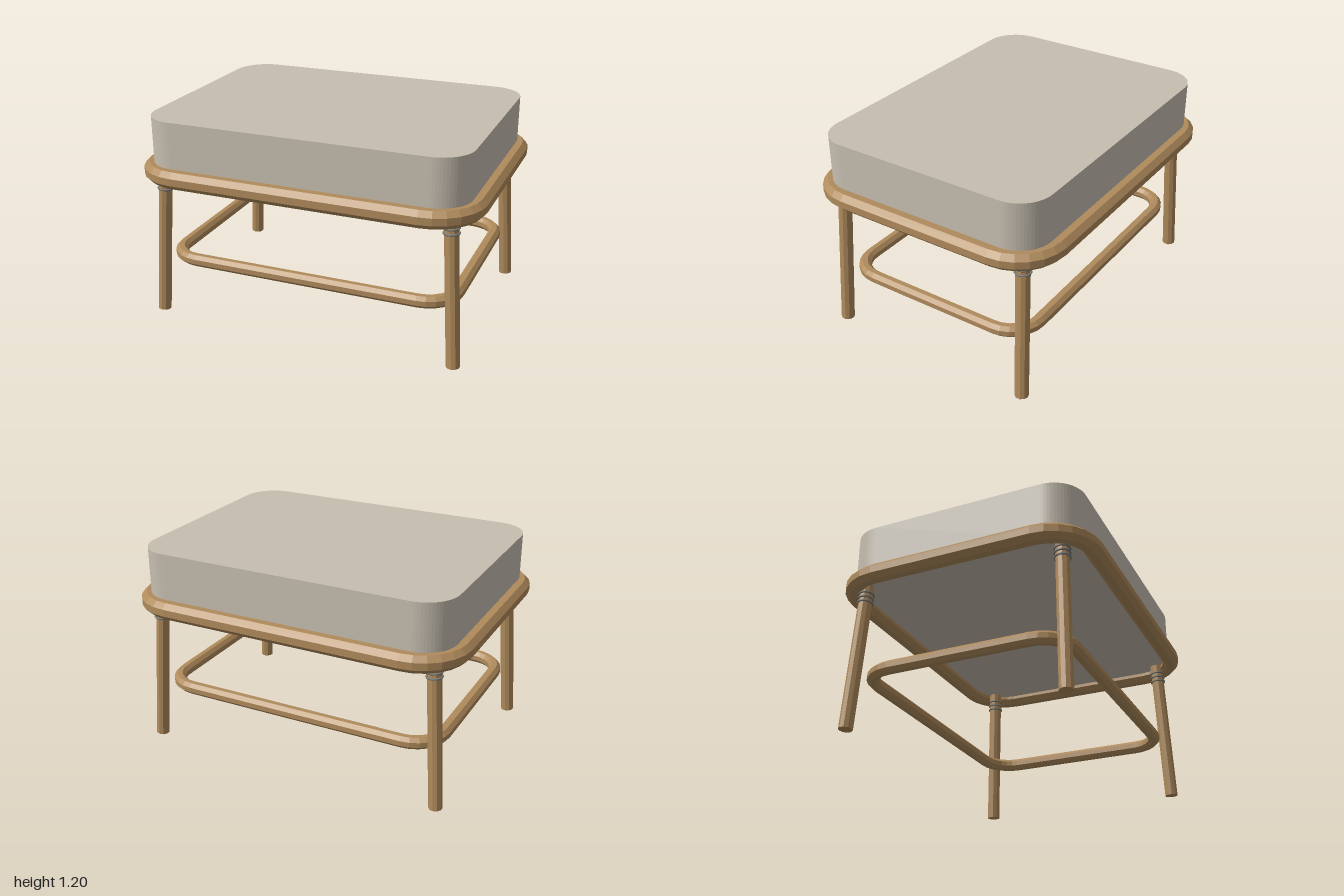
import * as THREE from 'three';

const mat = (name, color) => Object.assign(new THREE.MeshStandardMaterial({ color }), { name });

// flat facets: every face gets its own normal
function faceted(geo) {
  const g = geo.index ? geo.toNonIndexed() : geo;
  g.computeVertexNormals();
  return g;
}

// closed rod bent around a rounded rectangle (half sizes a, b; corner radius r)
function loopRod(a, b, r, rod, sides, y, cornerSteps) {
  const pos = [], idx = [];
  const R = rod / Math.cos(Math.PI / sides);
  const corners = [[1, 1], [-1, 1], [-1, -1], [1, -1]];
  corners.forEach(([sx, sz], k) => {
    for (let s = 0; s <= cornerSteps; s++) {
      const t = (k + s / cornerSteps) * Math.PI / 2;
      for (let j = 0; j < sides; j++) {
        const p = (j + 0.5) / sides * Math.PI * 2;
        const d = r + R * Math.cos(p);
        pos.push(sx * (a - r) + d * Math.cos(t), y + R * Math.sin(p), sz * (b - r) + d * Math.sin(t));
      }
    }
  });
  const rings = 4 * (cornerSteps + 1);
  for (let i = 0; i < rings; i++) {
    for (let j = 0; j < sides; j++) {
      const i2 = (i + 1) % rings, j2 = (j + 1) % sides;
      const A = i * sides + j, B = i * sides + j2, C = i2 * sides + j, D = i2 * sides + j2;
      idx.push(A, B, C, B, D, C);
    }
  }
  const g = new THREE.BufferGeometry();
  g.setAttribute('position', new THREE.Float32BufferAttribute(pos, 3));
  g.setIndex(idx);
  return faceted(g);
}

function roundedRect(a, b, r) {
  const s = new THREE.Shape();
  s.absarc(a - r, b - r, r, 0, Math.PI / 2);
  s.absarc(-a + r, b - r, r, Math.PI / 2, Math.PI);
  s.absarc(-a + r, -b + r, r, Math.PI, Math.PI * 1.5);
  s.absarc(a - r, -b + r, r, Math.PI * 1.5, Math.PI * 2);
  s.closePath();
  return s;
}

export function createModel() {
  const wood = mat('wood', 0xb08b5c);
  const fabric = mat('fabric', 0xc6beb0);
  const cord = mat('cord', 0x7c7c78);
  const model = new THREE.Group();
  model.name = 'footstool';
  const add = (parent, name, geo, material) => {
    const m = new THREE.Mesh(geo, material);
    m.name = name;
    parent.add(m);
    return m;
  };

  // cushion
  const bottom = 0.88, top = 1.2;
  const cushion = new THREE.ExtrudeGeometry(roundedRect(0.93, 0.695, 0.19),
    { depth: top - bottom, bevelEnabled: false, curveSegments: 8 });
  cushion.rotateX(-Math.PI / 2).translate(0, bottom, 0);
  add(model, 'cushion', faceted(cushion), fabric);

  // seat frame and lower stretcher
  add(model, 'seatFrame', loopRod(0.95, 0.715, 0.24, 0.05, 8, 0.88, 6), wood);
  add(model, 'stretcher', loopRod(0.848, 0.585, 0.175, 0.035, 8, 0.34, 6), wood);

  // splayed legs with three cord rings below the frame
  const up = new THREE.Vector3(0, 1, 0);
  for (const [sx, sz, name] of [[1, 1, 'frontLeft'], [-1, 1, 'frontRight'], [1, -1, 'backLeft'], [-1, -1, 'backRight']]) {
    const foot = new THREE.Vector3(sx * 0.895, 0.002, sz * 0.621);
    const head = new THREE.Vector3(sx * 0.839, 0.88, sz * 0.591);
    const axis = head.clone().sub(foot);
    const height = axis.length();
    const leg = new THREE.Group();
    leg.name = name + 'Leg';
    leg.position.copy(foot);
    leg.quaternion.setFromUnitVectors(up, axis.normalize());
    const post = new THREE.CylinderGeometry(0.039, 0.039, height, 10).translate(0, height / 2, 0);
    add(leg, 'post', faceted(post), wood);
    for (const y of [0.77, 0.798, 0.826]) {
      const ring = new THREE.TorusGeometry(0.042, 0.006, 6, 16).rotateX(Math.PI / 2).translate(0, y, 0);
      add(leg, 'cordRing', ring, cord);
    }
    model.add(leg);
  }
  return model;
}
